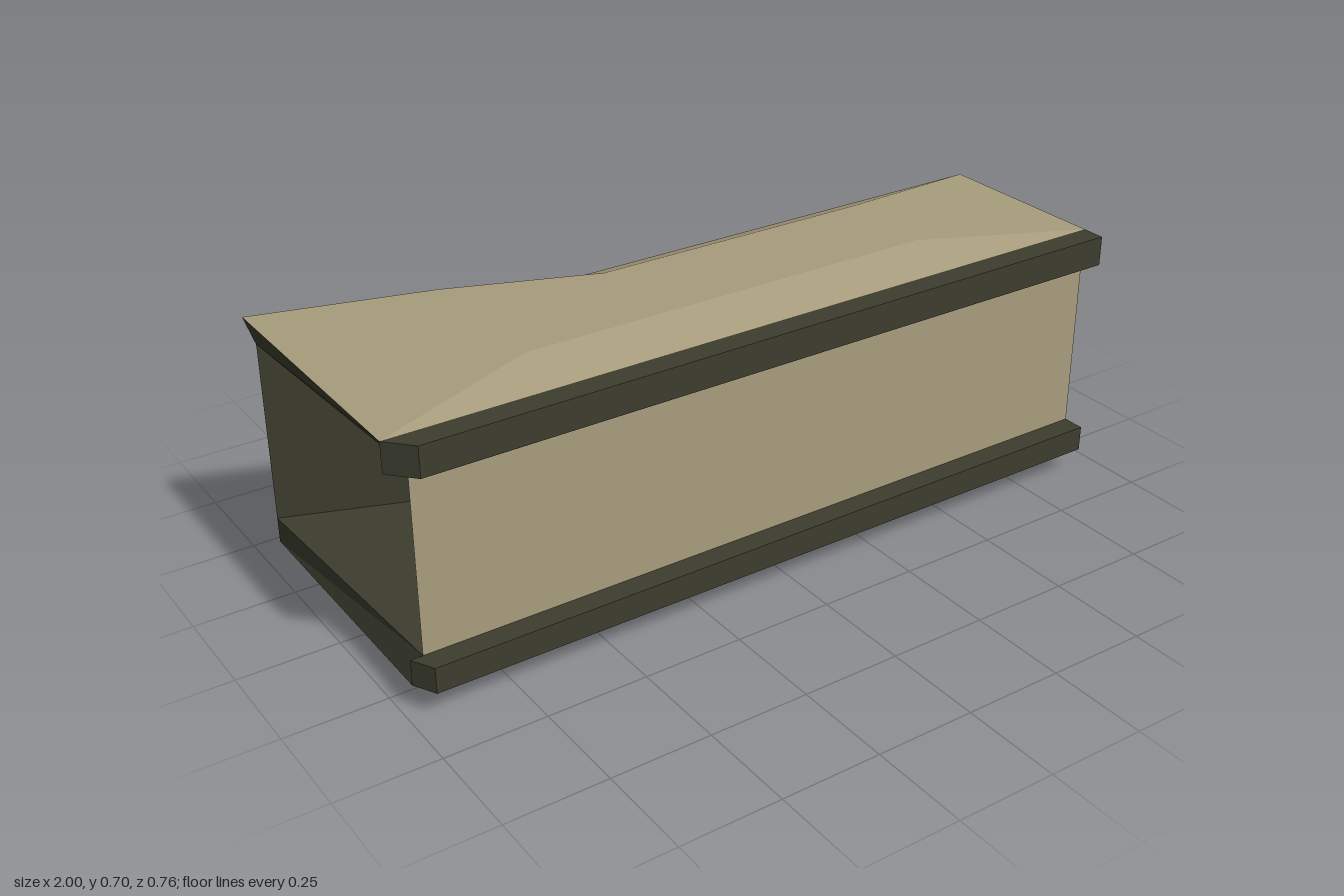
import * as THREE from 'three';

const flat = (name, color) => {
  const m = new THREE.MeshStandardMaterial({ color, flatShading: true });
  m.name = name;
  return m;
};

// Flat-faced geometry from convex polygons, each fanned from its first corner
function fromPolygons(polygons) {
  const pos = [];
  for (const p of polygons)
    for (let i = 1; i < p.length - 1; i++) pos.push(...p[0], ...p[i], ...p[i + 1]);
  const g = new THREE.BufferGeometry();
  g.setAttribute('position', new THREE.Float32BufferAttribute(pos, 3));
  g.computeVertexNormals();
  return g;
}

// Side quad i between two rings
function quad(a, b, i) {
  const j = (i + 1) % a.length;
  return [a[i], a[j], b[j], b[i]];
}

// Plan outline in x and z, raised between two heights
function prism(outline, y0, y1) {
  const shape = new THREE.Shape(outline.map(([x, z]) => new THREE.Vector2(x, z)));
  return new THREE.ExtrudeGeometry(shape, { depth: y1 - y0, bevelEnabled: false })
    .rotateX(Math.PI / 2).translate(0, y1, 0);
}

export function createModel() {
  const tan = flat('tan', 0xa79c7c);
  const dark = flat('dark olive', 0x3c3d2e);
  const yellow = flat('yellow', 0xbea523);
  const group = new THREE.Group();
  const add = (name, geometry, material) => {
    const mesh = new THREE.Mesh(geometry, material);
    mesh.name = name;
    group.add(mesh);
  };

  // Rings run front left, front right, back right, back bend, back flare
  const ring = (y, pts) => pts.map(([x, z]) => [x, y, z]);
  const wall = (y, frontX, backX) => ring(y,
    [[frontX, 0.32], [0.925, 0.32], [0.925, -0.145], [-0.32, -0.145], [backX, -0.38]]);
  const rings = [
    ring(0, [[-0.67, 0.23], [0.58, 0.23], [0.58, -0.08], [-0.27, -0.08], [-0.67, -0.235]]),
    wall(0.065, -0.975, -0.975),
    wall(0.13, -0.945, -0.975),
    wall(0.59, -0.945, -0.975),
    wall(0.665, -1, -1),
    ring(0.7, [[-0.6, 0.2], [0.48, 0.2], [0.48, -0.06], [-0.24, -0.06], [-0.6, -0.195]]),
  ];

  // Body shell, open at the flared end
  const shell = [], lips = [];
  for (let k = 0; k < 5; k++)
    for (let i = 0; i < 5; i++) {
      if (k === 2 && (i === 4 || i === 1)) continue;
      const isLip = i === 4 && (k === 1 || k === 3);
      (isLip ? lips : shell).push(quad(rings[k], rings[k + 1], i));
    }
  const fromBend = (r) => [r[3], r[4], r[0], r[1], r[2]];
  const [b0, ...rest] = fromBend(rings[0]);
  shell.push(fromBend(rings[5]), [b0, ...rest.reverse()]);
  add('body', fromPolygons(shell), tan);
  add('openingLips', fromPolygons(lips), dark);

  // Raised cap on the closed end
  const section = (x, y0, y1, z0, z1) => [[x, y0, z1], [x, y0, z0], [x, y1, z0], [x, y1, z1]];
  const base = section(0.925, 0.13, 0.59, -0.145, 0.32);
  const tip = section(1, 0.245, 0.475, -0.03, 0.205);
  add('endCap', fromPolygons([0, 1, 2, 3].map((i) => quad(base, tip, i)).concat([tip])), tan);

  // Recess in the flared end, closed by a yellow panel
  const mouth = [rings[2][0], rings[3][0], rings[3][4], rings[2][4]];
  const inner = section(-0.6, 0.13, 0.59, -0.242, 0.32);
  const floorRing = [inner[0], inner[3], inner[2], inner[1]];
  add('recess', fromPolygons([0, 1, 2, 3].map((i) => quad(mouth, floorRing, i))), dark);
  add('recessPanel', fromPolygons([floorRing]), yellow);

  // Two rails along the front
  const rail = (x, z) => [[x, 0.32], [0.925, 0.32], [0.925, z], [-0.945, z]];
  add('topRail', prism(rail(-1, 0.38), 0.59, 0.665), dark);
  add('bottomRail', prism(rail(-0.975, 0.376), 0.065, 0.13), dark);

  // Housing and small latch on the back
  add('backHousing', prism(
    [[-0.285, -0.145], [-0.19, -0.245], [0.795, -0.245], [0.865, -0.145]], 0.265, 0.46), dark);
  add('latch', new THREE.BoxGeometry(0.13, 0.08, 0.03).translate(0.3, 0.5, -0.16), yellow);

  return group;
}
